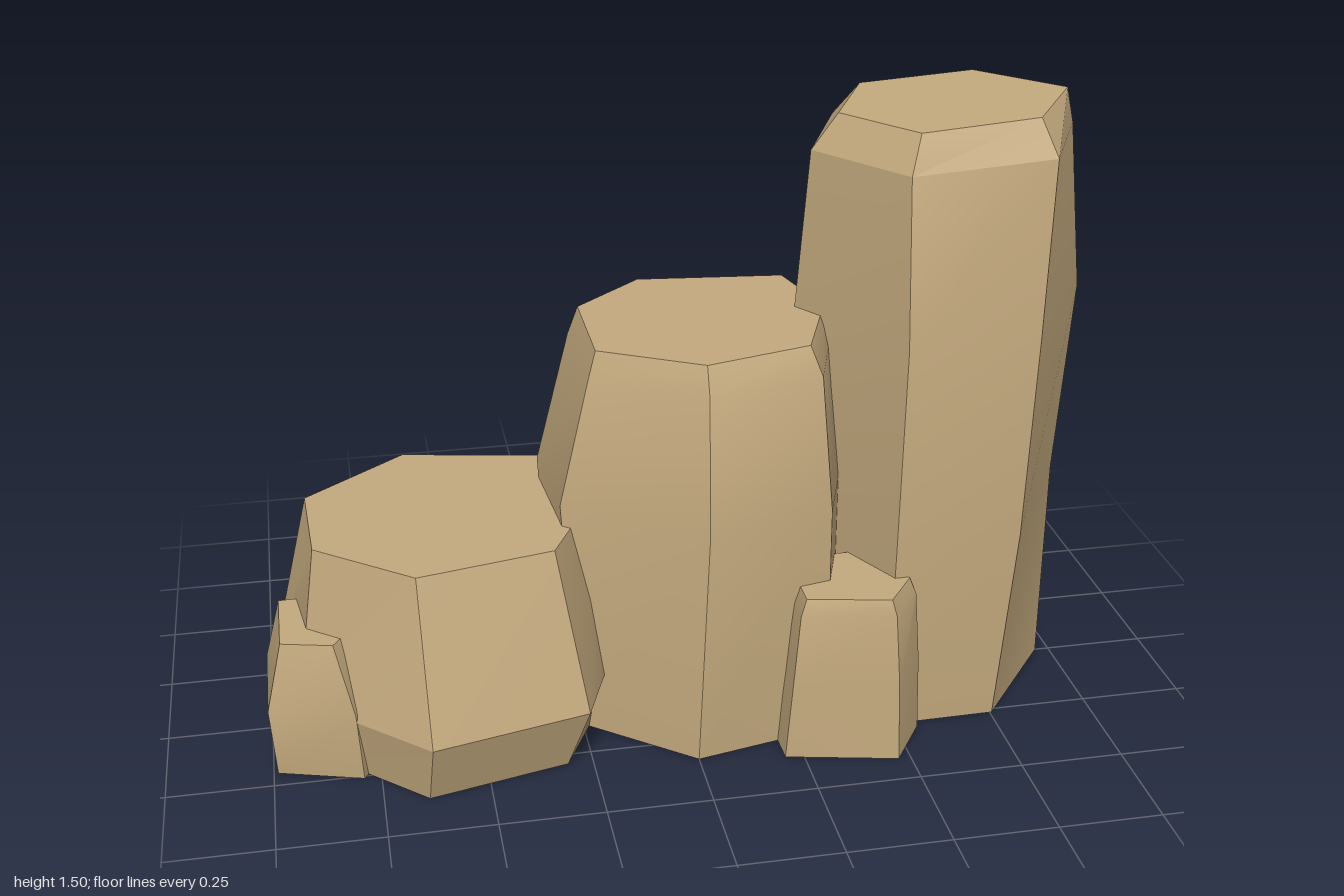
import * as THREE from 'three';
import { toCreasedNormals } from 'three/addons/utils/BufferGeometryUtils.js';

// Loft stacked rings into a closed stone. Each ring is [height, [x, z], ...],
// clockwise from above; tilt slopes the heights along x.
function stone(name, material, rings, tilt = 0) {
  const n = rings[0].length - 1;
  const centre = rings[0].slice(1).reduce((sum, p) => sum + p[0], 0) / n;
  const pts = rings.map(([y, ...ring]) =>
    ring.map(([x, z]) => [x, y * (1 + tilt * (x - centre)), z]));
  const pos = [];
  const tri = (a, b, c) => pos.push(...a, ...b, ...c);

  // side walls
  for (let r = 0; r < pts.length - 1; r++) {
    for (let i = 0; i < n; i++) {
      const j = (i + 1) % n;
      tri(pts[r][j], pts[r][i], pts[r + 1][i]);
      tri(pts[r][j], pts[r + 1][i], pts[r + 1][j]);
    }
  }
  // flat base and top
  const base = pts[0], top = pts[pts.length - 1];
  for (let i = 1; i < n - 1; i++) {
    tri(base[0], base[i], base[i + 1]);
    tri(top[0], top[i + 1], top[i]);
  }

  const geo = new THREE.BufferGeometry();
  geo.setAttribute('position', new THREE.Float32BufferAttribute(pos, 3));
  const mesh = new THREE.Mesh(toCreasedNormals(geo, 0.35), material);
  mesh.name = name;
  return mesh;
}

export function createModel() {
  const group = new THREE.Group();
  group.name = 'rockFormation';
  const rock = new THREE.MeshStandardMaterial({ color: 0xc4aa7e });
  rock.name = 'sandstone';

  // tall six-sided column
  group.add(stone('tallColumn', rock, [
    [0, [0.46, -0.32], [0.78, -0.32], [0.965, 0], [0.755, 0.265], [0.48, 0.27], [0.32, -0.04]],
    [0.5, [0.45, -0.34], [0.79, -0.36], [0.985, -0.05], [0.785, 0.285], [0.48, 0.29], [0.31, -0.04]],
    [1.0, [0.44, -0.32], [0.79, -0.325], [0.997, -0.01], [0.805, 0.27], [0.49, 0.275], [0.3, -0.04]],
    [1.4, [0.45, -0.3], [0.79, -0.3], [0.955, -0.02], [0.83, 0.225], [0.49, 0.23], [0.33, -0.04]],
    [1.485, [0.5, -0.245], [0.78, -0.245], [0.935, -0.02], [0.8, 0.18], [0.52, 0.19], [0.39, -0.03]],
  ], 0.043));

  // middle column
  group.add(stone('middleColumn', rock, [
    [0, [-0.28, -0.16], [-0.05, -0.4], [0.36, -0.3], [0.42, -0.03], [0.33, 0.26], [0, 0.33], [-0.26, 0.12]],
    [0.6, [-0.31, -0.17], [-0.05, -0.39], [0.36, -0.31], [0.43, -0.03], [0.325, 0.27], [0.02, 0.345], [-0.29, 0.1]],
    [0.92, [-0.225, -0.185], [-0.04, -0.345], [0.355, -0.28], [0.39, -0.03], [0.305, 0.225], [0.03, 0.28], [-0.22, 0.11]],
    [0.99, [-0.2, -0.18], [-0.03, -0.32], [0.32, -0.25], [0.37, -0.03], [0.28, 0.2], [0.03, 0.25], [-0.2, 0.1]],
  ], 0.035));

  // low broad boulder
  group.add(stone('lowBoulder', rock, [
    [0, [-0.95, -0.18], [-0.68, -0.42], [-0.25, -0.33], [-0.17, 0], [-0.31, 0.29], [-0.645, 0.37], [-0.9, 0.13]],
    [0.16, [-0.97, -0.19], [-0.68, -0.415], [-0.21, -0.34], [-0.14, 0], [-0.26, 0.33], [-0.635, 0.42], [-0.925, 0.15]],
    [0.54, [-0.88, -0.16], [-0.63, -0.36], [-0.28, -0.29], [-0.2, -0.02], [-0.32, 0.22], [-0.645, 0.29], [-0.87, 0.11]],
  ]));

  // small stone at the front
  group.add(stone('frontStone', rock, [
    [0, [0.5, 0.14], [0.555, 0.29], [0.47, 0.418], [0.205, 0.36], [0.2, 0.14]],
    [0.2, [0.49, 0.14], [0.545, 0.3], [0.465, 0.41], [0.22, 0.36], [0.22, 0.14]],
    [0.38, [0.46, 0.14], [0.53, 0.3], [0.455, 0.395], [0.235, 0.355], [0.24, 0.14]],
    [0.42, [0.45, 0.14], [0.515, 0.29], [0.445, 0.385], [0.25, 0.345], [0.25, 0.14]],
  ]));

  // small stone at the low end
  group.add(stone('endStone', rock, [
    [0, [-0.8, -0.04], [-0.7, 0.1], [-0.79, 0.26], [-0.99, 0.2], [-0.99, -0.03]],
    [0.18, [-0.8, -0.05], [-0.7, 0.1], [-0.8, 0.27], [-1, 0.215], [-1, -0.045]],
    [0.345, [-0.8, -0.02], [-0.76, 0.1], [-0.84, 0.22], [-0.96, 0.19], [-0.96, -0.015]],
  ]));

  return group;
}
